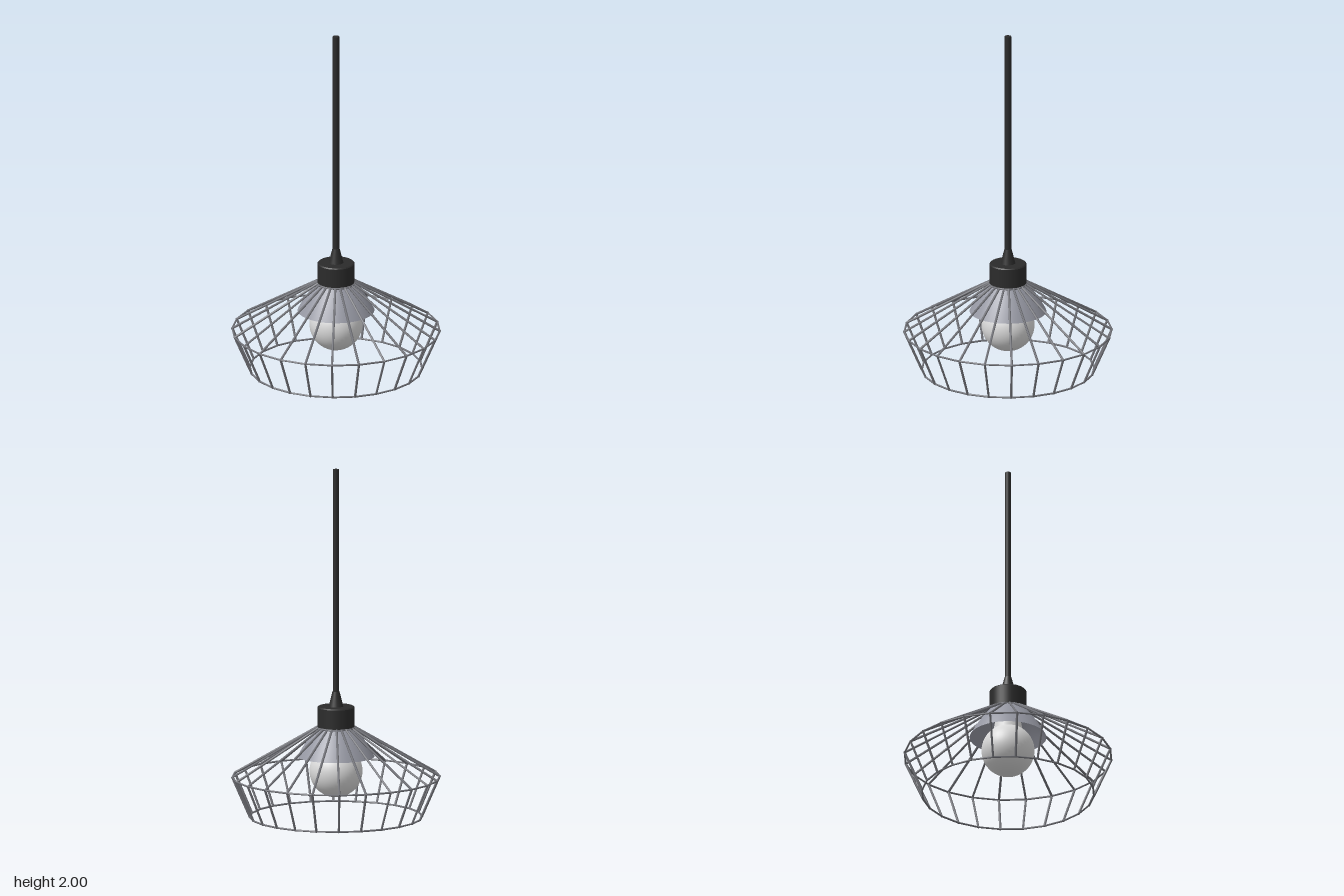
import * as THREE from 'three';

const mat = (name, color, side = THREE.FrontSide) => {
  const m = new THREE.MeshStandardMaterial({ color, side });
  m.name = name;
  return m;
};

export function createModel() {
  const lamp = new THREE.Group();
  lamp.name = 'pendantLamp';
  const black = mat('black', 0x2b2b2b);
  const wire = mat('wireGrey', 0x74757b);
  const metal = mat('shadeGrey', 0x9698a3, THREE.DoubleSide);
  const glass = mat('bulbWhite', 0xdadada);

  const add = (name, geometry, material, y = 0, parent = lamp) => {
    const mesh = new THREE.Mesh(geometry, material);
    mesh.name = name;
    mesh.position.y = y;
    parent.add(mesh);
    return mesh;
  };
  const lathe = (points, segments) =>
    new THREE.LatheGeometry(points.map(([r, y]) => new THREE.Vector2(r, y)), segments);

  // Cord, strain relief and socket cap
  add('cord', new THREE.CylinderGeometry(0.0185, 0.0185, 1.3, 12), black, 1.35);
  add('strainRelief', new THREE.CylinderGeometry(0.02, 0.043, 0.09, 24), black, 0.68);
  add('capRim', new THREE.CylinderGeometry(0.099, 0.105, 0.006, 40), black, 0.637);
  add('cap', new THREE.CylinderGeometry(0.105, 0.105, 0.112, 40), black, 0.578);

  // Inner reflector, open at the bottom
  add('innerShade', lathe([[0.217, 0.353], [0.193, 0.397], [0.165, 0.44], [0.135, 0.482], [0.103, 0.522]], 48), metal);

  // Round bulb with a neck running up into the cap
  add('bulb', new THREE.SphereGeometry(0.15, 40, 28), glass, 0.27);
  add('bulbNeck', new THREE.CylinderGeometry(0.06, 0.085, 0.14, 24, 1, true), glass, 0.455);

  // Wire cage: 24 bent ribs joined by three faceted rings
  const cage = new THREE.Group();
  cage.name = 'wireCage';
  lamp.add(cage);
  const count = 24;
  const offset = THREE.MathUtils.degToRad(7.05);
  const levels = [[0.107, 0.519], [0.586, 0.235], [0.487, 0.007]];
  const point = (level, i) => {
    const a = offset + (i / count) * Math.PI * 2;
    const [r, y] = levels[level];
    return new THREE.Vector3(r * Math.cos(a), y, r * Math.sin(a));
  };
  const rod = (name, a, b, radius) => {
    const dir = b.clone().sub(a);
    const mesh = add(name, new THREE.CylinderGeometry(radius, radius, dir.length() + radius, 6), wire, 0, cage);
    mesh.position.copy(a).add(b).multiplyScalar(0.5);
    mesh.quaternion.setFromUnitVectors(new THREE.Vector3(0, 1, 0), dir.normalize());
  };
  for (let i = 0; i < count; i++) {
    rod('upperRib', point(0, i), point(1, i), 0.0068);
    rod('lowerRib', point(1, i), point(2, i), 0.0068);
    rod('topRing', point(0, i), point(0, i + 1), 0.0055);
    rod('waistRing', point(1, i), point(1, i + 1), 0.0055);
    rod('bottomRing', point(2, i), point(2, i + 1), 0.0055);
  }
  return lamp;
}
